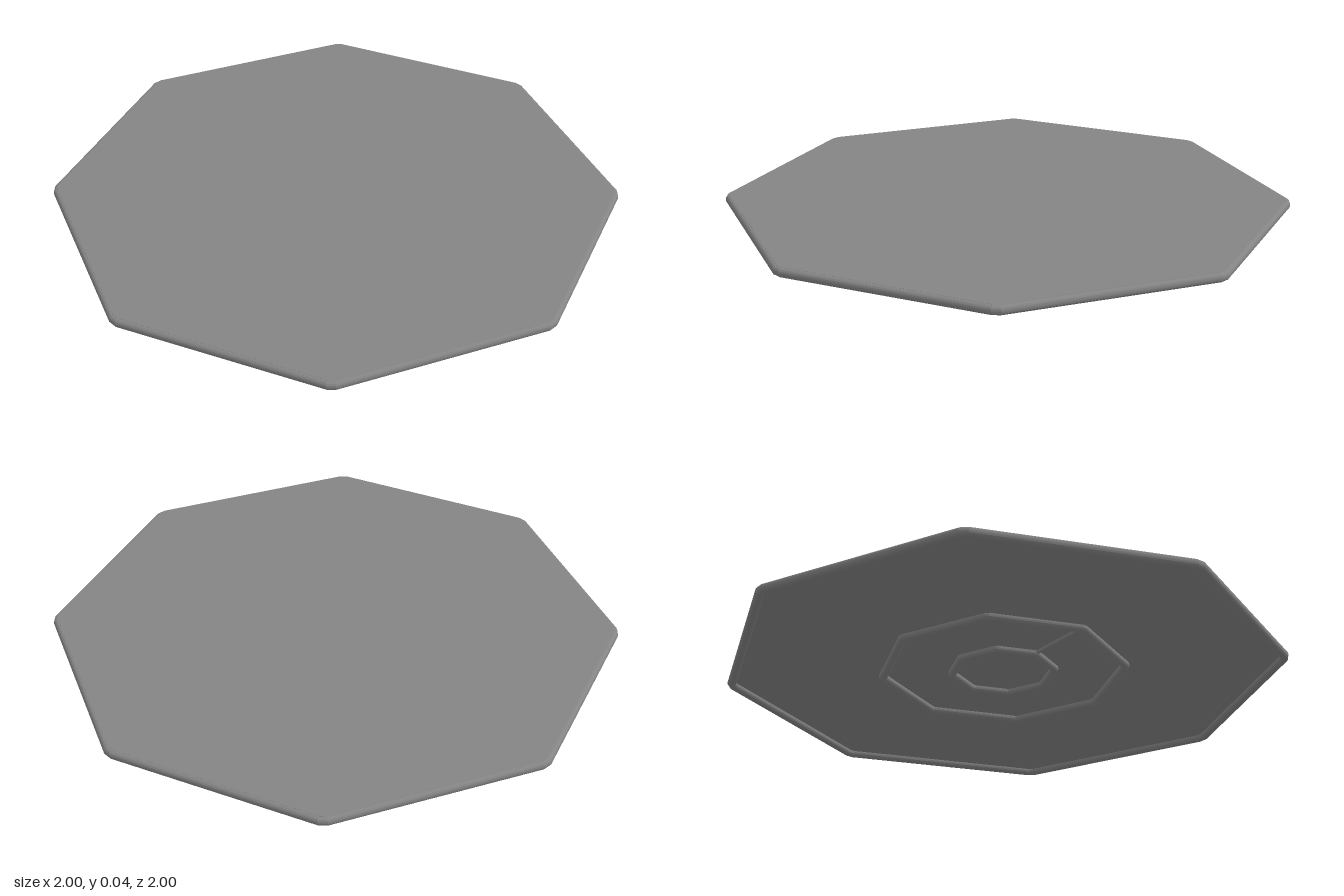
import * as THREE from 'three';

const HEIGHT = 0.036;
const UNDERSIDE = 0.021;
const material = new THREE.MeshStandardMaterial({ color: 0x848484, flatShading: true });

// Octagon outline by apothem, with slightly clipped corners
function octagon(apothem, clip) {
  const r = apothem / Math.cos(Math.PI / 8);
  const corner = (i) => {
    const a = Math.PI / 8 + (i * Math.PI) / 4;
    return new THREE.Vector2(r * Math.cos(a), r * Math.sin(a));
  };
  const points = [];
  for (let i = 0; i < 8; i++) {
    const c = corner(i);
    for (const n of [corner(i - 1), corner(i + 1)]) {
      points.push(c.clone().add(n.sub(c).setLength(clip)));
    }
  }
  return points;
}

// Lays an extruded shape flat, with its lowest face at the given height
function layFlat(name, geometry, bottom) {
  geometry.rotateX(-Math.PI / 2);
  const mesh = new THREE.Mesh(geometry, material);
  mesh.name = name;
  mesh.position.y = bottom;
  return mesh;
}

// Octagonal hoop with a rounded section
function hoop(name, outer, width, height, clip) {
  const bevel = Math.min(width, height) / 2 - 0.001;
  const shape = new THREE.Shape(octagon(outer, clip));
  shape.holes.push(new THREE.Path(octagon(outer - width, clip / 2).reverse()));
  const geometry = new THREE.ExtrudeGeometry(shape, {
    depth: height - 2 * bevel,
    bevelEnabled: true,
    bevelThickness: bevel,
    bevelSize: bevel,
    bevelOffset: -bevel,
    bevelSegments: 4,
  });
  geometry.translate(0, 0, bevel);
  return layFlat(name, geometry, 0);
}

export function createModel() {
  const group = new THREE.Group();
  group.name = 'octagonalPlate';

  // Flat sheet forming the top
  const sheet = new THREE.ExtrudeGeometry(new THREE.Shape(octagon(0.978, 0.014)), {
    depth: HEIGHT - UNDERSIDE,
    bevelEnabled: false,
  });
  group.add(layFlat('topSheet', sheet, UNDERSIDE));

  // Rounded rim and the two ribs standing out below the sheet
  group.add(hoop('rim', 0.994, 0.034, HEIGHT - 0.0005, 0.018));
  group.add(hoop('outerRib', 0.444, 0.032, HEIGHT - 0.001, 0.008));
  group.add(hoop('innerRib', 0.196, 0.03, HEIGHT - 0.001, 0.008));

  // Thin rod joining the ribs at one corner
  const rod = new THREE.CylinderGeometry(0.009, 0.009, 0.26, 8);
  rod.rotateZ(Math.PI / 2);
  rod.translate(0.33, 0.018, 0);
  const link = new THREE.Mesh(rod, material);
  link.name = 'ribLink';
  link.rotation.y = (-5 * Math.PI) / 8;
  group.add(link);

  group.rotation.y = -0.012;
  return group;
}
